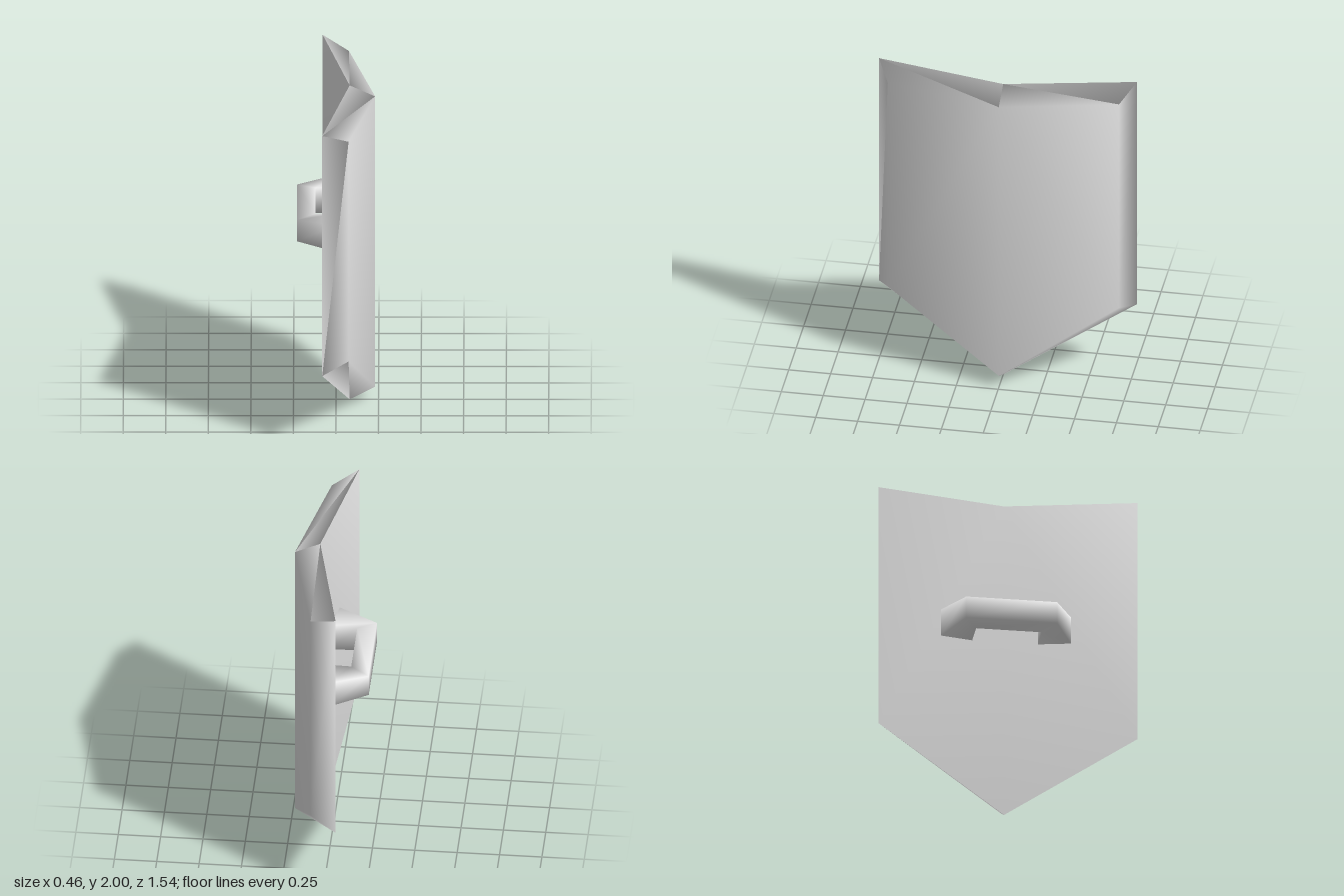
import * as THREE from 'three';

// Joins equal-sized rings of points with smooth-shaded quads
function skin(rings, extraFaces = []) {
  const n = rings[0].length, index = [];
  for (let r = 0; r < rings.length - 1; r++) {
    for (let i = 0; i < n; i++) {
      const a = r * n + i, b = r * n + (i + 1) % n;
      index.push(a, b + n, b, a, a + n, b + n);
    }
  }
  const geometry = new THREE.BufferGeometry();
  geometry.setAttribute('position', new THREE.Float32BufferAttribute(rings.flat(2), 3));
  geometry.setIndex(index.concat(extraFaces));
  geometry.computeVertexNormals();
  return geometry;
}

// Pointed shield outline folded along its vertical centre line
function outline(centreX, edgeX, halfWidth, top, shoulder, tip) {
  return [
    [centreX, top, 0], [edgeX, top, -halfWidth], [edgeX, shoulder, -halfWidth],
    [centreX, tip, 0], [edgeX, shoulder, halfWidth], [edgeX, top, halfWidth],
  ];
}

// Four-cornered handle section between an outer and an inner [x, z, low, high]
function section([ox, oz, oLow, oHigh], [ix, iz, iLow, iHigh]) {
  return [[ox, oLow, oz], [ox, oHigh, oz], [ix, iHigh, iz], [ix, iLow, iz]];
}

export function createModel() {
  const group = new THREE.Group();
  const metal = new THREE.MeshStandardMaterial({ color: 0xe7e7e7 });
  metal.name = 'pale grey';

  // Shield plate: larger back outline, smaller front outline, two faces each
  const back = outline(0.08, -0.08, 0.77, 2, 0.47, 0);
  const front = outline(0.23, 0.075, 0.69, 1.93, 0.53, 0.08);
  const backFaces = [0, 1, 2, 0, 2, 3, 0, 3, 4, 0, 4, 5];
  const frontFaces = backFaces.map((i) => i + 6).reverse();
  const plate = new THREE.Mesh(skin([back, front], [...backFaces, ...frontFaces]), metal);
  plate.name = 'shieldPlate';
  group.add(plate);

  // Grip: flared foot, bend, mirrored bend and foot
  const half = (s) => [
    section([0, 0.385 * s, 1.1, 1.27], [0.04, 0.195 * s, 1.1, 1.27]),
    section([-0.23, 0.27 * s, 1.12, 1.255], [-0.12, 0.195 * s, 1.105, 1.265]),
  ];
  const grip = new THREE.Mesh(skin([...half(-1), ...half(1).reverse()]), metal);
  grip.name = 'grip';
  group.add(grip);
  return group;
}
